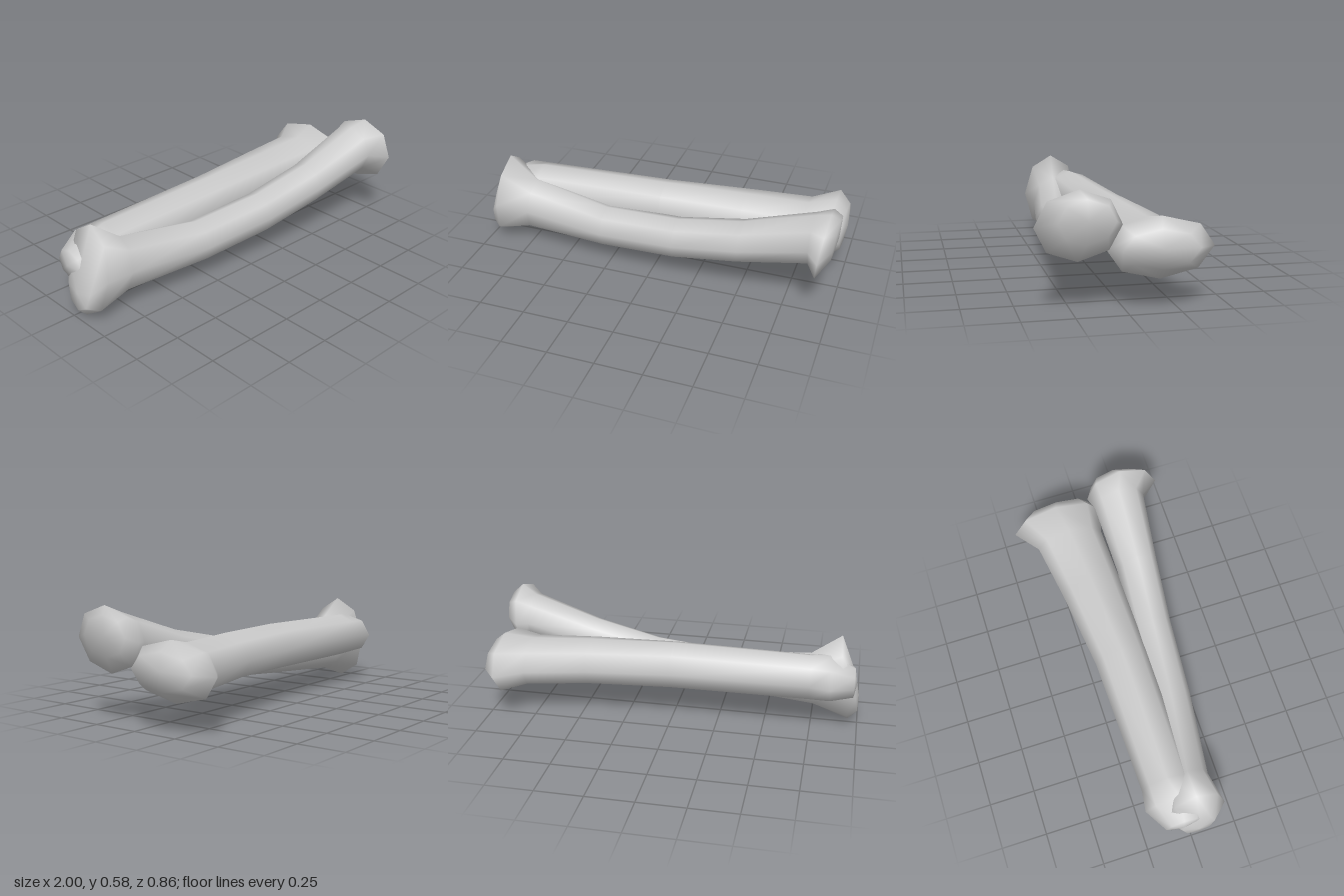
import * as THREE from 'three';

const SIDES = 8;

// Skins a closed bone along x through rings of [x, yMin, yMax, zMin, zMax, tilt];
// tilt shifts the top of a ring towards +x and its bottom towards -x.
function bone(name, rings, startTip, endTip) {
  const pos = [...startTip];
  const index = [];
  for (const [x, y0, y1, z0, z1, tilt = 0] of rings) {
    for (let j = 0; j < SIDES; j++) {
      const a = (j / SIDES) * Math.PI * 2;
      const c = Math.cos(a), s = Math.sin(a);
      pos.push(x + tilt * c, (y0 + y1) / 2 + c * (y1 - y0) / 2, (z0 + z1) / 2 + s * (z1 - z0) / 2);
    }
  }
  pos.push(...endTip);
  const at = (i, j) => 1 + i * SIDES + (j % SIDES);
  const last = rings.length - 1;
  const end = 1 + rings.length * SIDES;
  for (let j = 0; j < SIDES; j++) {
    index.push(0, at(0, j + 1), at(0, j));
    for (let i = 0; i < last; i++) {
      index.push(at(i, j), at(i, j + 1), at(i + 1, j));
      index.push(at(i, j + 1), at(i + 1, j + 1), at(i + 1, j));
    }
    index.push(at(last, j), at(last, j + 1), end);
  }
  const geo = new THREE.BufferGeometry();
  geo.setAttribute('position', new THREE.Float32BufferAttribute(pos, 3));
  geo.setIndex(index);
  geo.computeVertexNormals();
  const mesh = new THREE.Mesh(geo, new THREE.MeshStandardMaterial({ color: 0xcccccc }));
  mesh.name = name;
  return mesh;
}

export function createModel() {
  const group = new THREE.Group();
  group.name = 'forearmBones';

  // Slender curved bone in front, with a tall flared head at -x
  group.add(bone('frontBone', [
    [-0.985, 0.05, 0.28, -0.05, 0.13, 0.015],
    [-0.92, 0.0, 0.49, -0.125, 0.2, 0.03],
    [-0.745, 0.065, 0.37, -0.07, 0.17, 0.015],
    [-0.28, 0.09, 0.315, 0.0, 0.23],
    [0.14, 0.12, 0.345, 0.04, 0.26],
    [0.5, 0.19, 0.42, 0.06, 0.295],
    [0.87, 0.28, 0.54, 0.045, 0.335],
    [0.935, 0.24, 0.58, 0.02, 0.43, 0.02],
    [0.99, 0.33, 0.54, 0.06, 0.33, 0.01],
  ], [-1, 0.15, 0.04], [1, 0.44, 0.19]));

  // Thicker straight bone behind, widening towards +x
  group.add(bone('backBone', [
    [-0.97, 0.18, 0.34, -0.14, 0.05],
    [-0.85, 0.16, 0.4, -0.215, 0.15],
    [-0.74, 0.16, 0.405, -0.2, 0.07],
    [0.0, 0.165, 0.42, -0.22, 0.07],
    [0.45, 0.17, 0.418, -0.275, 0.06],
    [0.78, 0.155, 0.41, -0.325, 0.05],
    [0.91, 0.135, 0.44, -0.43, 0.09, 0.015],
    [0.985, 0.2, 0.39, -0.34, 0.03],
  ], [-0.985, 0.26, -0.05], [1, 0.3, -0.16]));

  return group;
}
